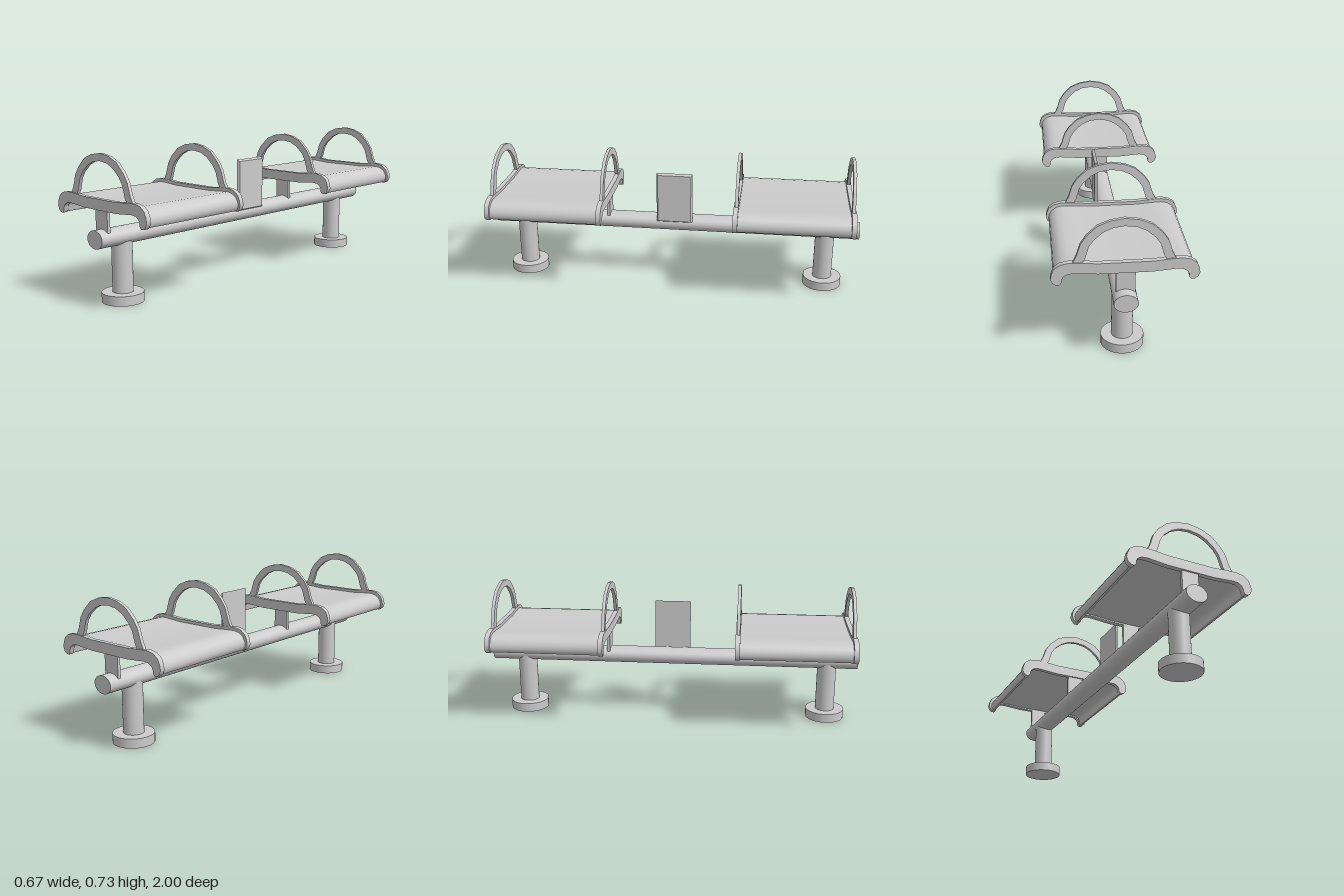
import * as THREE from 'three';
import { toCreasedNormals } from 'three/addons/utils/BufferGeometryUtils.js';

const material = new THREE.MeshStandardMaterial({ color: 0xcccccc });

function addMesh(parent, name, geometry, x = 0, y = 0, z = 0) {
  const mesh = new THREE.Mesh(geometry, material);
  mesh.name = name;
  mesh.position.set(x, y, z);
  parent.add(mesh);
  return mesh;
}

// Mirrors a right-hand half profile (outer run, then inner run) and extrudes it about z = 0.
function mirroredExtrude(outer, inner, depth) {
  const flip = (list) => list.filter(([x]) => x > 0).map(([x, y]) => [-x, y]);
  const points = [...outer, ...inner, ...flip(inner).reverse(), ...flip(outer).reverse()];
  const shape = new THREE.Shape(points.map(([x, y]) => new THREE.Vector2(x, y)));
  const geometry = new THREE.ExtrudeGeometry(shape, { depth, bevelEnabled: false });
  geometry.translate(0, 0, -depth / 2);
  return toCreasedNormals(geometry, 0.7);
}

// Half profiles: top edge from the middle outwards, then underside back to the middle
const frameTop = [[0, 0.513], [0.122, 0.513], [0.2, 0.52], [0.253, 0.522], [0.29, 0.515],
  [0.318, 0.495], [0.329, 0.47], [0.334, 0.445], [0.326, 0.425], [0.312, 0.413]];
const frameUnder = [[0.295, 0.412], [0.286, 0.424], [0.285, 0.44], [0.276, 0.455],
  [0.258, 0.466], [0.23, 0.469], [0.122, 0.46], [0, 0.46]];
const panelTop = [[0, 0.497], [0.122, 0.497], [0.2, 0.503], [0.25, 0.505], [0.28, 0.499],
  [0.304, 0.483], [0.317, 0.462], [0.321, 0.442], [0.316, 0.426], [0.308, 0.416]];
const panelUnder = [[0.297, 0.415], [0.291, 0.426], [0.29, 0.443], [0.281, 0.461],
  [0.262, 0.473], [0.23, 0.476], [0.122, 0.468], [0, 0.468]];
const hoopOuter = [[0, 0.728], [0.065, 0.718], [0.121, 0.695], [0.169, 0.649],
  [0.195, 0.61], [0.213, 0.553], [0.232, 0.515]];
const hoopInner = [[0.191, 0.51], [0.175, 0.538], [0.158, 0.595], [0.136, 0.628],
  [0.095, 0.664], [0.052, 0.684], [0, 0.691]];

function createSeat(name, z) {
  const seat = new THREE.Group();
  seat.name = name;
  seat.position.z = z;
  addMesh(seat, 'seatPanel', mirroredExtrude(panelTop, panelUnder, 0.58));
  for (const side of [-1, 1]) {
    addMesh(seat, 'endFrame', mirroredExtrude(frameTop, frameUnder, 0.025), 0, 0, side * 0.2975);
    addMesh(seat, 'hoopHandle', mirroredExtrude(hoopOuter, hoopInner, 0.017), 0.005, 0, side * 0.296);
    addMesh(seat, 'seatBracket', new THREE.BoxGeometry(0.088, 0.125, 0.016), -0.001, 0.4125, side * 0.293);
  }
  return seat;
}

// Upright plate with chamfered edges on its outer face
function createPlateGeometry() {
  const geometry = new THREE.BoxGeometry(0.015, 0.28, 0.195);
  const p = geometry.attributes.position;
  for (let i = 0; i < p.count; i++) {
    if (p.getX(i) > 0) {
      p.setY(i, p.getY(i) - Math.sign(p.getY(i)) * 0.009);
      p.setZ(i, p.getZ(i) - Math.sign(p.getZ(i)) * 0.008);
    }
  }
  return toCreasedNormals(geometry, 0.2);
}

export function createModel() {
  const model = new THREE.Group();
  model.name = 'doubleBench';

  // Oval main beam
  const beam = new THREE.CylinderGeometry(1, 1, 2, 32);
  beam.rotateX(Math.PI / 2).scale(0.056, 0.0445, 1);
  addMesh(model, 'beam', beam, 0.002, 0.326, 0);

  // Posts on round feet
  for (const z of [0.84, -0.82]) {
    addMesh(model, 'post', new THREE.CylinderGeometry(0.051, 0.051, 0.28, 32), -0.001, 0.18, z);
    addMesh(model, 'foot', new THREE.CylinderGeometry(0.103, 0.103, 0.048, 32), -0.001, 0.024, z);
  }

  // Two curved seats
  model.add(createSeat('frontSeat', 0.655), createSeat('backSeat', -0.645));

  // Plate fixed to the beam's left side
  addMesh(model, 'sidePlate', createPlateGeometry(), 0.0575, 0.482, -0.005);
  return model;
}
